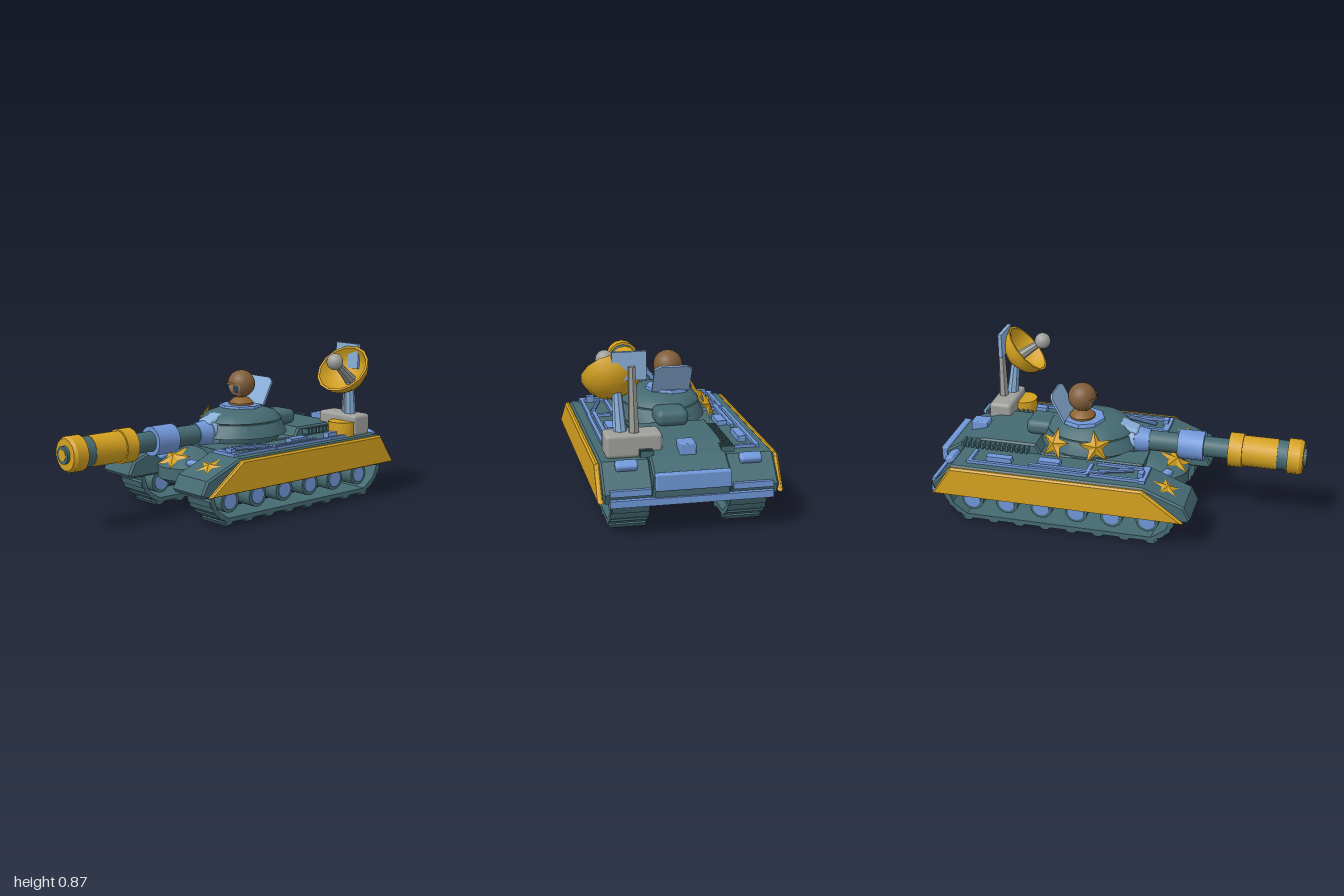
import * as THREE from 'three';
import { toCreasedNormals } from 'three/addons/utils/BufferGeometryUtils.js';
import { RoundedBoxGeometry } from 'three/addons/geometries/RoundedBoxGeometry.js';

const mat = (name, color) => Object.assign(new THREE.MeshStandardMaterial({ color }), { name });
const V = (x, y, z) => new THREE.Vector3(x, y, z);

export function createModel() {
  const teal = mat('armour teal', 0x456a72), yellow = mat('yellow', 0xd4a120), blue = mat('trim blue', 0x7097d8);
  const pale = mat('pale blue', 0x8ab0da), grey = mat('grey', 0x9f9f9c), brown = mat('helmet brown', 0x7f5d39);
  const tan = mat('jacket brown', 0x8c6230), skin = mat('skin', 0xa87a62), dark = mat('dark visor', 0x2f4a52);

  const model = new THREE.Group();
  model.name = 'tank';
  const body = new THREE.Group();
  body.name = 'body';
  body.position.x = -0.013;
  model.add(body);

  const add = (parent, name, geo, material, x = 0, y = 0, z = 0) => {
    const m = new THREE.Mesh(geo, material);
    m.name = name;
    m.position.set(x, y, z);
    parent.add(m);
    return m;
  };
  const smooth = (g) => toCreasedNormals(g, 0.6);
  const box = (p, n, m, w, h, d, x, y, z) => add(p, n, new THREE.BoxGeometry(w, h, d), m, x, y, z);
  const soft = (p, n, m, w, h, d, x, y, z, r = 0.015) => add(p, n, new RoundedBoxGeometry(w, h, d, 2, r), m, x, y, z);
  const extrude = (pts, depth, bevel = 0) => {
    const g = new THREE.ExtrudeGeometry(new THREE.Shape(pts.map(([a, b]) => new THREE.Vector2(a, b))), {
      depth: depth - 2 * bevel, bevelEnabled: bevel > 0, bevelSize: bevel, bevelThickness: bevel, bevelOffset: -bevel, bevelSegments: 1,
    });
    return g.translate(0, 0, bevel - depth / 2);
  };
  // Side outline given as [z, y], extruded along x
  const side = (pts, width, bevel) => extrude(pts, width, bevel).rotateY(-Math.PI / 2);
  const lathe = (pts, seg) => smooth(new THREE.LatheGeometry(pts.map(([r, y]) => new THREE.Vector2(r, y)), seg));
  // Tapered rod between two points
  const rod = (p, n, m, a, b, r0, r1 = r0, seg = 10) => {
    const d = b.clone().sub(a);
    const mesh = add(p, n, smooth(new THREE.CylinderGeometry(r1, r0, d.length(), seg)), m);
    mesh.position.copy(a).addScaledVector(d, 0.5);
    mesh.quaternion.setFromUnitVectors(V(0, 1, 0), d.normalize());
    return mesh;
  };
  // Faceted five-point star: a ten-sided cone with every second corner pulled in
  const star = (p, n, R, x, y, z, rx, ry) => {
    const g = new THREE.ConeGeometry(R, 0.02, 10, 1, false, Math.PI).toNonIndexed();
    const a = g.attributes.position;
    for (let i = 0; i < a.count; i++) {
      const k = Math.round(Math.atan2(a.getX(i), a.getZ(i)) / (Math.PI / 5));
      if (k % 2 === 0) a.setXYZ(i, a.getX(i) * 0.42, a.getY(i), a.getZ(i) * 0.42);
    }
    g.rotateX(Math.PI / 2).computeVertexNormals();
    const m = add(p, n, g, yellow, x, y, z);
    m.rotation.set(rx, ry, 0, 'YXZ');
  };

  // Central hull with raised engine deck, and rounded bow
  add(body, 'hull', side([[0.15, 0.175], [0.15, 0.36], [-0.42, 0.36], [-0.45, 0.41], [-0.75, 0.41], [-0.87, 0.375], [-0.975, 0.31], [-0.965, 0.175]], 0.38, 0.01), teal);
  const bow = add(body, 'bow', lathe([[0, 0.175], [0.16, 0.175], [0.19, 0.2], [0.19, 0.265], [0.14, 0.315], [0.08, 0.345], [0, 0.36]], 28), teal, 0, 0, 0.1);
  bow.scale.z = 1.4;
  star(body, 'bowStar', 0.11, 0, 0.318, 0.295, -1.1, 0);

  for (const s of [-1, 1]) {
    // Fenders and yellow skirts
    add(body, 'fender', side([[0.44, 0.18], [0.455, 0.2], [0.42, 0.27], [0.2, 0.357], [-0.85, 0.357], [-0.965, 0.23], [-0.95, 0.18]], 0.245, 0.01), teal, s * 0.3075);
    add(body, 'skirt', side([[0.42, 0.185], [0.2, 0.352], [-0.85, 0.352], [-0.96, 0.185]], 0.03, 0.01), yellow, s * 0.44);
    star(body, 'fenderStar', 0.11, s * 0.31, 0.318, 0.31, -1.19, 0);
    const lamp = soft(body, 'headlamp', blue, 0.09, 0.032, 0.05, s * 0.14, 0.295, 0.265);
    lamp.rotation.y = s * 0.35;

    // Track belt with cleats
    add(body, 'trackBelt', side([[0.37, 0.19], [0.34, 0.085], [0.25, 0.018], [-0.8, 0.018], [-0.89, 0.085], [-0.93, 0.19], [-0.905, 0.19], [-0.868, 0.098], [-0.79, 0.042], [0.24, 0.042], [0.318, 0.098], [0.347, 0.19]], 0.19), teal, s * 0.29);
    const cleat = side([[-0.035, 0.022], [-0.018, 0], [0.018, 0], [0.035, 0.022]], 0.19, 0.004);
    for (let i = 0; i < 8; i++) add(body, 'cleat', cleat, teal, s * 0.29, 0, 0.24 - i * 0.147);
    for (const [z, y, a] of [[0.3, 0.046, -0.65], [0.363, 0.13, -1.28], [-0.852, 0.046, 0.65], [-0.918, 0.13, 1.2]])
      add(body, 'cleat', cleat, teal, s * 0.29, y, z).rotation.x = a;

    // Road wheels
    for (let i = 0; i < 6; i++) {
      const z = 0.214 - i * 0.195;
      rod(body, 'wheel', teal, V(s * 0.22, 0.125, z), V(s * 0.365, 0.125, z), 0.062, 0.062, 16);
      rod(body, 'wheelHub', blue, V(s * 0.215, 0.125, z), V(s * 0.371, 0.125, z), 0.044, 0.044, 16);
    }

    // Deck rails, boxes and tools
    const rail = (n, w, h, d, x, z) => box(body, n, blue, w, h, d, s * x, 0.357 + h / 2, z);
    rail('longRail', 0.018, 0.015, 0.67, 0.37, -0.445);
    rail('rearRail', 0.14, 0.015, 0.018, 0.31, -0.765);
    rail('middleRail', 0.12, 0.015, 0.02, 0.31, -0.115);
    rail('outerRail', 0.018, 0.015, 0.3, 0.365, 0.05);
    rail('innerRail', 0.018, 0.015, 0.28, 0.235, 0.05);
    rail('frontRail', 0.165, 0.016, 0.035, 0.3, 0.185);
    rail('frontLatch', 0.045, 0.036, 0.03, 0.32, 0.17);
    rail('sideRail', 0.02, 0.016, 0.42, 0.335, -0.23);
    rail('stowageBox', 0.04, 0.03, 0.14, 0.32, -0.61);
    rail('turretSideBox', 0.05, 0.025, 0.12, 0.29, -0.34);
    rod(body, 'tool', blue, V(s * 0.335, 0.375, -0.06), V(s * 0.28, 0.375, 0.12), 0.012);
    const rear = soft(body, 'rearLamp', blue, 0.11, 0.04, 0.055, s * 0.305, 0.345, -0.885);
    rear.rotation.x = -0.5;
    box(body, 'rearEdge', blue, 0.2, 0.03, 0.02, s * 0.3, 0.235, -0.965);

    // Engine louvres
    for (let i = 0; i < 14; i++) box(body, 'louvre', teal, 0.065, 0.03, 0.014, s * 0.2, 0.385, -0.49 - i * 0.028);
  }

  // Rear fittings
  box(body, 'rearBumper', blue, 0.8, 0.035, 0.12, 0, 0.185, -0.92);
  soft(body, 'rearPlate', blue, 0.37, 0.085, 0.04, 0, 0.285, -0.98, 0.008);
  soft(body, 'deckBox', blue, 0.08, 0.06, 0.095, 0, 0.4, -0.825, 0.006);

  // Turret with stepped rings
  const turret = add(body, 'turret', lathe([[0, 0.35], [0.19, 0.35], [0.2, 0.385], [0.236, 0.392], [0.232, 0.402], [0.207, 0.462], [0.195, 0.464], [0.195, 0.468], [0.208, 0.47], [0.175, 0.508], [0.125, 0.526], [0, 0.53]], 28), teal, 0, 0, -0.185);
  turret.scale.z = 1.17;
  soft(body, 'turretBustle', teal, 0.17, 0.085, 0.16, 0, 0.45, -0.46, 0.035);
  star(body, 'turretRearStar', 0.095, -0.235, 0.455, -0.33, -0.4, -2.0);
  star(body, 'turretSideStar', 0.095, -0.228, 0.455, -0.1, -0.4, -1.1);

  // Gun: [name, material, z start, z end, start radius, end radius]
  for (const [n, m, z0, z1, r0, r1] of [
    ['mantlet', pale, -0.02, 0.07, 0.085, 0.078], ['mantletCollar', blue, 0.07, 0.15, 0.072, 0.06],
    ['barrel', teal, 0, 0.6, 0.055], ['barrelSleeve', blue, 0.31, 0.45, 0.08],
    ['muzzleRearRing', yellow, 0.585, 0.66, 0.092], ['muzzleBody', yellow, 0.65, 0.845, 0.083],
    ['muzzleBand', teal, 0.84, 0.905, 0.08], ['muzzleFrontRing', yellow, 0.9, 0.965, 0.094],
    ['muzzleLip', yellow, 0.965, 0.982, 0.094, 0.083], ['muzzleTip', teal, 0.97, 0.998, 0.047], ['muzzleBore', yellow, 0.97, 1, 0.03],
  ]) rod(body, n, m, V(0, 0.417, z0), V(0, 0.417, z1), r0, r1 ?? r0, 14);
  const saddle = soft(body, 'mantletSaddle', pale, 0.1, 0.05, 0.12, 0, 0.48, 0.03, 0.02);
  saddle.rotation.x = 0.3;

  // Hatch ring and raised lid
  rod(model, 'hatchRing', blue, V(-0.05, 0.52, -0.215), V(-0.05, 0.54, -0.215), 0.122, 0.115, 8);
  const lid = add(model, 'hatchLid', extrude([[-0.1, 0], [0.1, 0], [0.1, 0.145], [0.07, 0.165], [-0.07, 0.165], [-0.1, 0.145]], 0.012), pale, -0.05, 0.535, -0.3);
  lid.rotation.x = -0.47;

  // Crew member: jacket, helmeted head, face and goggles
  const crew = new THREE.Group();
  crew.name = 'crew';
  crew.position.set(-0.052, 0.655, -0.223);
  model.add(crew);
  add(crew, 'jacket', lathe([[0, -0.13], [0.07, -0.13], [0.07, -0.105], [0.045, -0.08], [0, -0.07]], 18), tan);
  add(crew, 'helmet', new THREE.SphereGeometry(0.077, 24, 18), brown);
  const patch = (n, m, r, p, dp, t, dt) =>
    add(crew, n, new THREE.SphereGeometry(r, 12, 8, Math.PI / 2 + p - dp / 2, dp, t, dt), m);
  patch('face', skin, 0.0785, 0, 1.7, 1.57, 0.95);
  for (const s of [-1, 1]) {
    patch('goggle', dark, 0.08, s * 0.42, 0.42, 1.6, 0.55);
    patch('helmetStrap', brown, 0.081, s * 0.88, 0.25, 1.5, 1.05);
  }
  patch('helmetBrim', brown, 0.084, 0, 2.1, 1.42, 0.16).material.side = THREE.DoubleSide;

  // Dish mount: grey base, yellow drum, mast, panel and stem
  soft(model, 'dishBase', grey, 0.28, 0.12, 0.13, 0.24, 0.415, -0.755, 0.02);
  rod(model, 'drum', yellow, V(0.298, 0.355, -0.675), V(0.298, 0.437, -0.675), 0.077, 0.077, 14);
  rod(model, 'mast', grey, V(0.235, 0.45, -0.775), V(0.245, 0.8, -0.78), 0.028, 0.018, 6);
  box(model, 'mastPanel', pale, 0.168, 0.14, 0.02, 0.255, 0.8, -0.762);
  rod(model, 'dishStem', pale, V(0.295, 0.44, -0.745), V(0.308, 0.67, -0.72), 0.036, 0.024, 8);

  // Dish bowl and feed
  const n = V(0.12, 0.66, 0.74).normalize(), rim = V(0.32, 0.742, -0.648);
  const bowl = add(model, 'dish', lathe([[0, -0.125], [0.06, -0.115], [0.11, -0.085], [0.14, -0.045], [0.155, 0], [0.142, 0], [0.127, -0.042], [0.1, -0.075], [0.055, -0.102], [0, -0.112]], 14), yellow);
  bowl.position.copy(rim);
  bowl.quaternion.setFromUnitVectors(V(0, 1, 0), n);
  const ball = V(0.34, 0.787, -0.565);
  rod(model, 'feedArm', grey, rim.clone().addScaledVector(n, -0.115), ball, 0.034, 0.018, 8);
  add(model, 'feedBall', new THREE.SphereGeometry(0.046, 18, 12), grey).position.copy(ball);

  return model;
}
